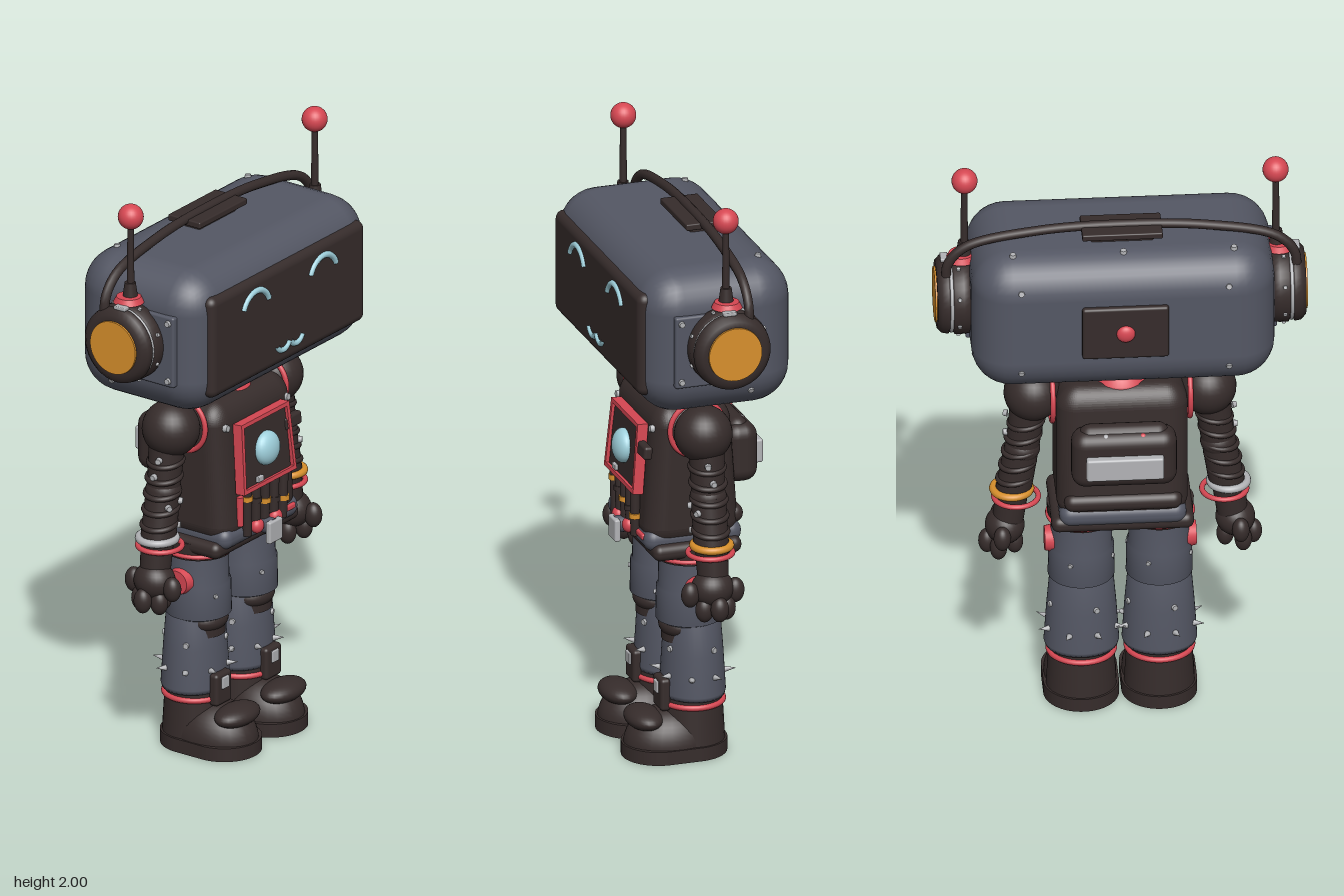
import * as THREE from 'three';
import { RoundedBoxGeometry } from 'three/addons/geometries/RoundedBoxGeometry.js';

const paint = (name, color) => {
  const m = new THREE.MeshStandardMaterial({ color });
  m.name = name;
  return m;
};
const V = (x, y, z) => new THREE.Vector3(x, y, z);
const H = Math.PI / 2;

export function createModel() {
  const dark = paint('dark brown', 0x362c2b), slate = paint('slate grey', 0x545764);
  const red = paint('red', 0xd64752), orange = paint('orange', 0xd8902c);
  const cyan = paint('pale blue', 0x9fd0dc), metal = paint('light metal', 0xb2b3b6);
  const model = new THREE.Group();
  model.name = 'robot';

  // Helpers
  const group = (name, parent = model) => {
    const g = new THREE.Group();
    g.name = name;
    parent.add(g);
    return g;
  };
  const add = (parent, name, geo, mat, pos = [0, 0, 0], rot = [0, 0, 0], scale = [1, 1, 1]) => {
    const m = new THREE.Mesh(geo, mat);
    m.name = name;
    m.position.set(...pos);
    m.rotation.set(...rot);
    m.scale.set(...scale);
    parent.add(m);
    return m;
  };
  const box = (w, h, d, r) => new RoundedBoxGeometry(w, h, d, 4, r);
  const cyl = (r1, r2, h, n = 32) => new THREE.CylinderGeometry(r1, r2, h, n);
  const ball = (p, name, mat, pos, size) =>
    add(p, name, new THREE.SphereGeometry(1, 28, 18), mat, pos, [0, 0, 0], size);
  const ring = (p, name, mat, pos, R, r, rot = [H, 0, 0], scale) =>
    add(p, name, new THREE.TorusGeometry(R, r, 10, 40), mat, pos, rot, scale);
  const lathe = pts => new THREE.LatheGeometry(pts.map(q => new THREE.Vector2(...q)), 40);
  const aim = (mesh, dir) => mesh.quaternion.setFromUnitVectors(V(0, 1, 0), dir.clone().normalize());
  const bolt = (p, pos, dir, r = 0.012) => aim(add(p, 'bolt', cyl(r * 0.8, r, 0.014, 8), metal, pos), V(...dir));
  const limb = (p, name, mat, a, b, r1, r2) => {
    const d = b.clone().sub(a);
    const m = add(p, name, cyl(r2, r1, d.length(), 28), mat, a.clone().add(b).multiplyScalar(0.5).toArray());
    aim(m, d);
  };

  // Head with screen face
  const head = group('head');
  add(head, 'headShell', box(0.98, 0.49, 0.515, 0.13), slate, [0, 1.525, 0.007]);
  add(head, 'faceScreen', box(0.84, 0.35, 0.06, 0.028), dark, [0, 1.525, 0.242]);
  for (const s of [-1, 1]) {
    add(head, 'eye', new THREE.TorusGeometry(0.074, 0.011, 10, 28, 2.4), cyan, [s * 0.183, 1.582, 0.271], [0, 0, H - 1.2]);
    add(head, 'mouth', new THREE.TorusGeometry(0.036, 0.01, 8, 20, 2.4), cyan, [s * 0.036, 1.437, 0.271], [0, 0, -H - 1.2]);
  }
  add(head, 'backPanel', box(0.28, 0.19, 0.03, 0.01), dark, [0, 1.525, -0.253]);
  ball(head, 'backButton', red, [0, 1.525, -0.268], [0.03, 0.03, 0.018]);
  for (const x of [-0.357, 0, 0.357]) bolt(head, [x, 1.767, -0.155], [0, 1, -0.1]);
  for (const x of [-0.335, 0.335]) for (const y of [1.375, 1.675]) bolt(head, [x, y, -0.243], [0, Math.sign(y - 1.5) * 0.3, -1]);

  // Headband and its top plate
  const band = new THREE.CatmullRomCurve3([[-0.565, 1.6], [-0.56, 1.68], [-0.5, 1.745], [-0.27, 1.795], [0, 1.808],
    [0.27, 1.795], [0.5, 1.745], [0.56, 1.68], [0.565, 1.6]].map(([x, y]) => V(x, y, -0.053)));
  add(head, 'headband', new THREE.TubeGeometry(band, 64, 0.016, 10), dark);
  add(head, 'bandPlate', box(0.26, 0.022, 0.128, 0.005), dark, [0, 1.798, -0.055]);
  add(head, 'plateFoot', box(0.2, 0.04, 0.08, 0.005), dark, [0, 1.775, -0.055]);

  // Ears and antennas
  for (const s of [-1, 1]) {
    add(head, 'sidePanel', box(0.04, 0.245, 0.235, 0.008), slate, [s * 0.483, 1.52, 0.058]);
    for (const y of [1.42, 1.62]) bolt(head, [s * 0.505, y, 0.155], [s, 0, 0]);
    bolt(head, [s * 0.475, 1.355, -0.09], [s, -0.5, 0]);
    const ear = group('ear', head);
    ear.position.set(s * 0.48, 1.532, 0.005);
    ear.rotation.z = -s * H;
    add(ear, 'earDrum', lathe([[0, 0], [0.115, 0], [0.13, 0.012], [0.132, 0.03], [0.132, 0.058], [0.122, 0.064], [0.122, 0.074],
      [0.13, 0.08], [0.126, 0.1], [0.11, 0.115], [0.09, 0.115], [0, 0.11]]), dark);
    ring(ear, 'earTrim', metal, [0, 0.069, 0], 0.121, 0.006);
    add(ear, 'earLens', cyl(0.09, 0.092, 0.02, 40), orange, [0, 0.111, 0]);
    for (let i = 0; i < 8; i++) {
      const a = i * Math.PI / 4 + 0.4;
      bolt(ear, [Math.cos(a) * 0.131, 0.045, Math.sin(a) * 0.131], [Math.cos(a), 0, Math.sin(a)], 0.008);
    }
    add(head, 'earClip', box(0.025, 0.012, 0.045, 0.003), metal, [s * 0.568, 1.664, 0.015]);
    add(head, 'antennaBase', cyl(0.04, 0.05, 0.02), red, [s * 0.513, 1.675, 0.005]);
    add(head, 'antennaSocket', cyl(0.018, 0.026, 0.06), dark, [s * 0.505, 1.7, 0.005]);
    add(head, 'antennaRod', cyl(0.01, 0.013, 0.28, 16), dark, [s * 0.503, 1.81, 0.005]);
    ball(head, 'antennaBall', red, [s * 0.502, 1.958, 0.005], [0.042, 0.042, 0.042]);
  }
  add(model, 'neck', lathe([[0.06, 1.17], [0.095, 1.195], [0.098, 1.212], [0.078, 1.225], [0.075, 1.24], [0.105, 1.255], [0.108, 1.275], [0.09, 1.3]]), red);

  // Torso, shallower towards the shoulders
  const torso = group('torso');
  const body = new RoundedBoxGeometry(0.44, 0.49, 0.32, 8, 0.07);
  const p = body.attributes.position;
  for (let i = 0; i < p.count; i++) {
    const t = (p.getY(i) + 0.245) / 0.49;
    p.setX(i, p.getX(i) * (0.93 + 0.28 * t * (1 - t)));
    p.setZ(i, p.getZ(i) * (1 - 0.22 * t * t));
  }
  body.computeVertexNormals();
  add(torso, 'body', body, dark, [0, 0.97, 0.005]);
  const chest = group('chestPanel', torso);
  chest.position.set(0, 1.023, 0.166);
  chest.rotation.x = -0.09;
  add(chest, 'panel', box(0.26, 0.23, 0.05, 0.01), dark, [0, 0, -0.015]);
  const outline = (Shape, k) => new Shape([[-0.143, -0.118], [0.143, -0.118], [0.13, 0.118], [-0.13, 0.118]]
    .map(([x, y]) => new THREE.Vector2(x - Math.sign(x) * k, y - Math.sign(y) * k)));
  const frame = outline(THREE.Shape, 0);
  frame.holes.push(outline(THREE.Path, 0.014));
  add(chest, 'chestFrame', new THREE.ExtrudeGeometry(frame, { depth: 0.035, bevelEnabled: false }), red, [0, 0, -0.015]);
  ball(chest, 'chestLamp', cyan, [0, 0, 0.015], [0.057, 0.057, 0.034]);
  add(chest, 'sideSwitch', box(0.09, 0.045, 0.03, 0.01), dark, [0.155, 0.04, 0]);
  for (const s of [-1, 1]) bolt(chest, [s * 0.165, 0.115, -0.015], [0, 0, 1], 0.014);
  for (let i = -2; i <= 2; i++) {
    limb(torso, 'chestHose', dark, V(i * 0.05, 0.91, 0.175), V(i * 0.048, 0.75, 0.172), 0.016, 0.016);
    const y = [0.88, 0.86, 0.842, 0.83, 0.818][i + 2];
    add(torso, 'hoseClamp', cyl(0.019, 0.019, 0.017, 16), i % 2 ? dark : orange, [i * 0.05, y, 0.175]);
  }
  add(torso, 'chestTag', box(0.03, 0.02, 0.012, 0.003), metal, [-0.05, 0.935, 0.19]);
  add(torso, 'redHose', cyl(0.012, 0.012, 0.1, 14), red, [-0.125, 0.84, 0.165]);

  // Backpack
  const pack = group('backpack', torso);
  add(pack, 'packBody', box(0.34, 0.2, 0.11, 0.045), dark, [0, 1.005, -0.175]);
  add(pack, 'packRoll', new THREE.CapsuleGeometry(0.035, 0.22, 8, 20), dark, [0, 1.085, -0.17], [0, 0, H]);
  add(pack, 'packPlate', box(0.25, 0.08, 0.035, 0.008), metal, [0, 0.995, -0.238]);
  for (const x of [-0.06, 0.06]) ball(pack, 'packKnob', x < 0 ? red : metal, [x, 1.088, -0.203], [0.014, 0.014, 0.012]);
  add(torso, 'lowerRoll', box(0.38, 0.06, 0.06, 0.028), dark, [0, 0.81, -0.14]);

  // Belt
  const belt = group('belt');
  add(belt, 'waist', box(0.41, 0.075, 0.33, 0.035), slate, [0, 0.755, 0.005]);
  add(belt, 'beltStrap', box(0.46, 0.055, 0.3, 0.025), dark, [0, 0.72, 0]);
  add(belt, 'buckleStem', cyl(0.028, 0.028, 0.07, 20), slate, [0, 0.755, 0.175], [H, 0, 0]);
  add(belt, 'buckle', box(0.07, 0.075, 0.02, 0.006), metal, [0, 0.743, 0.21]);
  for (const s of [-1, 1]) ball(belt, 'buckleKnob', red, [s * 0.05, 0.768, 0.18], [0.025, 0.025, 0.02]);
  add(belt, 'beltBar', box(0.08, 0.02, 0.02, 0.006), red, [0.13, 0.765, 0.165]);

  // Arms
  for (const s of [-1, 1]) {
    const arm = group(s > 0 ? 'leftArm' : 'rightArm');
    ring(arm, 'shoulderRing', red, [s * 0.222, 1.14, 0.005], 0.092, 0.009, [0, H, 0]);
    ball(arm, 'shoulder', dark, [s * 0.282, 1.145, 0.005], [0.094, 0.094, 0.095]);
    limb(arm, 'upperArm', dark, V(s * 0.295, 1.12, 0), V(s * 0.315, 0.95, 0), 0.06, 0.054);
    ball(arm, 'elbow', dark, [s * 0.316, 0.94, 0], [0.058, 0.05, 0.06]);
    limb(arm, 'forearm', dark, V(s * 0.318, 0.94, 0), V(s * 0.345, 0.78, 0), 0.056, 0.058);
    for (let i = 0; i < 5; i++) ring(arm, 'armBand', dark, [s * (0.304 + i * 0.009), 1.04 - i * 0.052, 0], 0.054, 0.01, [H, -s * 0.15, 0]);
    for (const [x, y, a] of [[0.31, 1.06, 0.3], [0.325, 0.91, 2], [0.325, 0.9, 1], [0.338, 0.83, 2], [0.31, 1, 0]])
      bolt(arm, [s * (x + Math.cos(a) * 0.062), y, Math.sin(a) * 0.062], [s * Math.cos(a), 0, Math.sin(a)]);
    ring(arm, 'cuff', s > 0 ? orange : metal, [s * 0.35, 0.785, 0], 0.06, 0.013);
    ring(arm, 'lowerCuff', red, [s * 0.336, 0.755, 0], 0.072, 0.009);
    limb(arm, 'wrist', dark, V(s * 0.348, 0.79, 0), V(s * 0.362, 0.67, 0), 0.054, 0.05);
    ball(arm, 'palm', dark, [s * 0.372, 0.645, 0.005], [0.064, 0.062, 0.07]);
    for (const [x, y, z] of [[0.43, 0.59, 0], [0.395, 0.582, 0.04], [0.395, 0.582, -0.035], [0.34, 0.575, 0.015], [0.385, 0.635, 0.085], [0.385, 0.635, -0.068]])
      ball(arm, 'finger', dark, [s * x, y, z], [0.028, 0.042, 0.03]);
  }

  // Legs and boots
  const sole = new THREE.Shape();
  sole.absarc(0, 0.002, 0.122, 0, Math.PI);
  sole.absarc(0, -0.103, 0.122, Math.PI, 2 * Math.PI);
  const soleGeo = new THREE.ExtrudeGeometry(sole, { depth: 0.046, bevelEnabled: false, curveSegments: 24 });
  const dome = new THREE.SphereGeometry(1, 28, 12, 0, Math.PI * 2, 0, H);
  for (const s of [-1, 1]) {
    const leg = group(s > 0 ? 'leftLeg' : 'rightLeg');
    leg.position.x = s * 0.126;
    add(leg, 'hip', cyl(0.112, 0.108, 0.06), dark, [0, 0.7, 0]);
    ring(leg, 'hipRing', red, [0, 0.683, 0], 0.108, 0.008);
    add(leg, 'thigh', lathe([[0.098, 0.69], [0.1, 0.575], [0.106, 0.57], [0.108, 0.46], [0.09, 0.45], [0, 0.45]].reverse()), slate);
    add(leg, 'hipDisc', cyl(0.04, 0.046, 0.03), red, [s * 0.104, 0.59, 0], [0, 0, -s * H]);
    add(leg, 'knee', cyl(0.08, 0.08, 0.1), dark, [0, 0.44, 0.01]);
    ball(leg, 'kneePad', dark, [0, 0.44, 0.035], [0.078, 0.045, 0.065]);
    add(leg, 'shin', lathe([[0, 0.2], [0.118, 0.2], [0.122, 0.215], [0.113, 0.35], [0.104, 0.455], [0.09, 0.465], [0, 0.465]]),
      slate, [0, 0, -0.012], [0, 0, 0], [1, 1, 0.87]);
    for (let i = 0; i < 8; i++) {
      const a = (i + 0.5) * Math.PI / 4, c = Math.cos(a), d = Math.sin(a);
      aim(add(leg, 'spike', new THREE.ConeGeometry(0.012, 0.045, 10), metal, [c * 0.132, 0.28, d * 0.117 - 0.012]), V(c, 0.15, d));
      if (i % 2) bolt(leg, [c * 0.11, 0.37, d * 0.097 - 0.012], [c, 0, d]);
      else bolt(leg, [c * 0.106, 0.54, d * 0.106], [c, 0, d], 0.009);
    }
    add(leg, 'ankle', cyl(0.105, 0.115, 0.17), dark, [0, 0.12, -0.008], [0, 0, 0], [1, 1, 0.95]);
    ring(leg, 'ankleRing', red, [0, 0.178, -0.01], 0.106, 0.01, [H, 0, 0], [1, 0.95, 1]);
    add(leg, 'sole', soleGeo, dark, [0, 0, 0], [-H, 0, 0]);
    add(leg, 'bootUpper', dome, dark, [0, 0.04, 0.06], [0, 0, 0], [0.118, 0.125, 0.16]);
    ball(leg, 'toeCap', dark, [0, 0.13, 0.155], [0.096, 0.036, 0.06]);
    add(leg, 'bootTongue', box(0.085, 0.11, 0.035, 0.012), dark, [s * 0.01, 0.213, 0.095]);
    add(leg, 'tongueClasp', box(0.036, 0.04, 0.01, 0.003), metal, [s * 0.01, 0.235, 0.114]);
  }
  return model;
}
